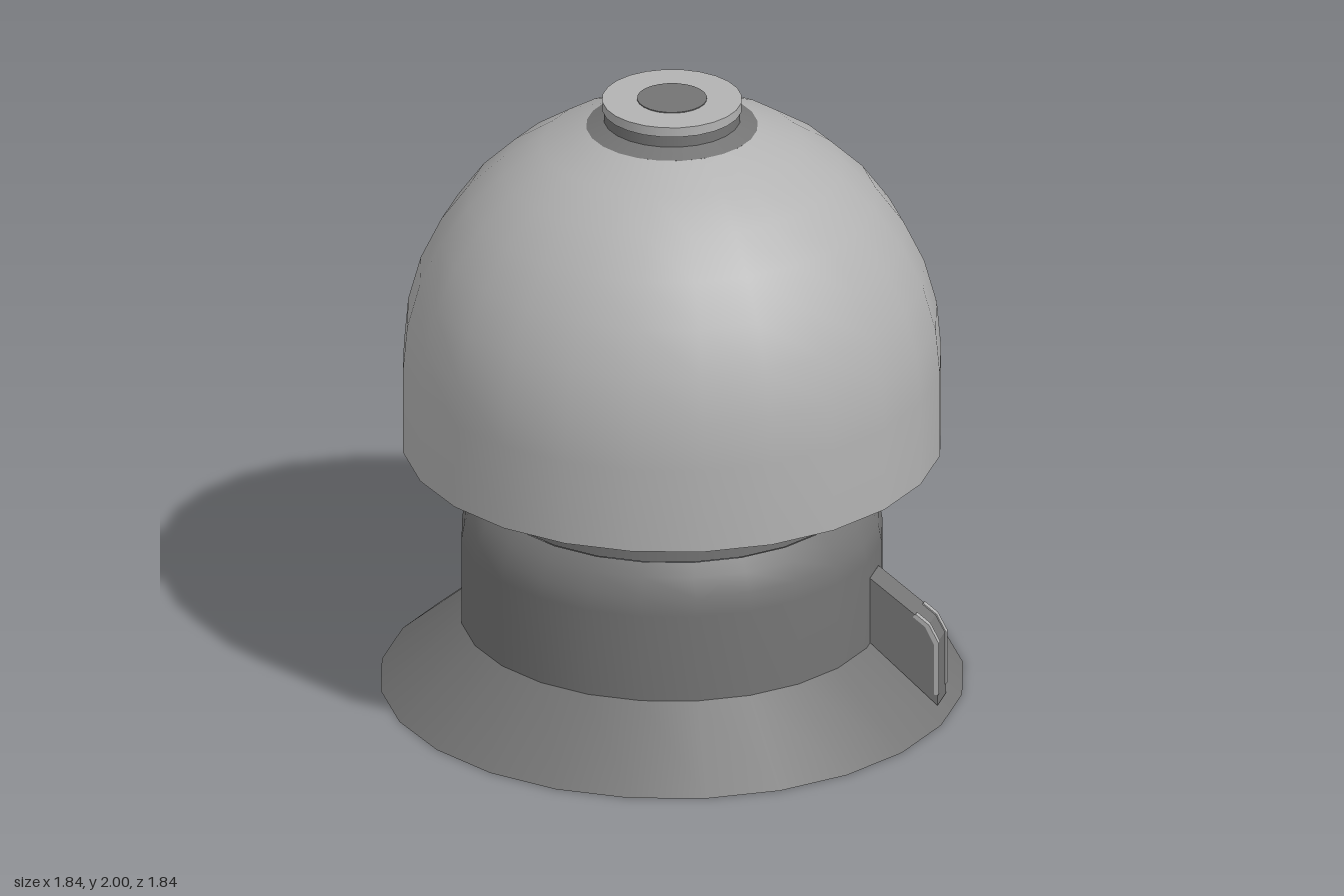
import * as THREE from 'three';

const SIDES = 24;

export function createModel() {
  const model = new THREE.Group();
  model.name = 'domedBeacon';

  const lightGrey = new THREE.MeshStandardMaterial({ color: 0xb2b2b2, side: THREE.DoubleSide });
  lightGrey.name = 'light grey';
  const darkGrey = new THREE.MeshStandardMaterial({ color: 0x747474, side: THREE.DoubleSide });
  darkGrey.name = 'dark grey';

  const add = (name, geometry, material, parent = model) => {
    const mesh = new THREE.Mesh(geometry, material);
    mesh.name = name;
    parent.add(mesh);
    return mesh;
  };

  // Turned surface from [radius, height] pairs
  const turn = (name, points, material) =>
    add(name, new THREE.LatheGeometry(points.map(([r, y]) => new THREE.Vector2(r, y)), SIDES), material);

  // Open base: flared skirt, body with rounded shoulder, neck
  turn('skirt', [[0.92, 0], [0.665, 0.22]], darkGrey);
  turn('body', [[0.665, 0.22], [0.665, 0.51], [0.655, 0.57], [0.63, 0.63], [0.595, 0.667]], darkGrey);
  turn('neck', [[0.592, 0.667], [0.592, 0.82]], darkGrey);

  // Dome: straight rim running into a spherical crown
  const dome = [[0.85, 0.82], [0.85, 1.1]];
  const crownEnd = Math.acos(0.27 / 0.85);
  for (let i = 1; i <= 7; i++) {
    const a = (i / 7) * crownEnd;
    dome.push([0.85 * Math.cos(a), 1.1 + 0.85 * Math.sin(a)]);
  }
  turn('dome', dome, lightGrey);
  turn('domeUnderside', [[0.592, 0.82], [0.85, 0.82]], darkGrey);

  // Top fitting: dark collar, short stem, pale cap and dark centre
  turn('collar', [[0.27, 1.906], [0.21, 1.93]], darkGrey);
  const disc = (name, radius, bottom, top, material) =>
    add(name, new THREE.CylinderGeometry(radius, radius, top - bottom, SIDES), material)
      .position.y = (bottom + top) / 2;
  disc('capStem', 0.215, 1.91, 1.965, darkGrey);
  disc('cap', 0.22, 1.965, 1.997, lightGrey);
  disc('capCentre', 0.11, 1.995, 2, darkGrey);

  // Two rear fins, each with pale strips along its outer edges
  const extrude = (points, depth) => {
    const shape = new THREE.Shape(points.map(([x, y]) => new THREE.Vector2(x, y)));
    const geometry = new THREE.ExtrudeGeometry(shape, { depth, bevelEnabled: false });
    return geometry.translate(0, 0, -depth / 2);
  };
  const finProfile = [[0.64, 0.24], [0.88, 0.033], [0.88, 0.25], [0.85, 0.305], [0.66, 0.445], [0.64, 0.445]];
  const stripProfile = [[0.87, 0.07], [0.884, 0.07], [0.884, 0.25], [0.853, 0.308],
    [0.81, 0.34], [0.80, 0.33], [0.84, 0.3], [0.87, 0.24]];
  const angle = THREE.MathUtils.degToRad(37.5);
  [['leftFin', angle], ['rightFin', Math.PI - angle]].forEach(([name, turnAngle]) => {
    const fin = new THREE.Group();
    fin.name = name;
    fin.rotation.y = turnAngle;
    add('finPlate', extrude(finProfile, 0.1), darkGrey, fin);
    for (const side of [-1, 1]) {
      add('finEdgeStrip', extrude(stripProfile, 0.018), lightGrey, fin).position.z = side * 0.043;
    }
    model.add(fin);
  });

  return model;
}
